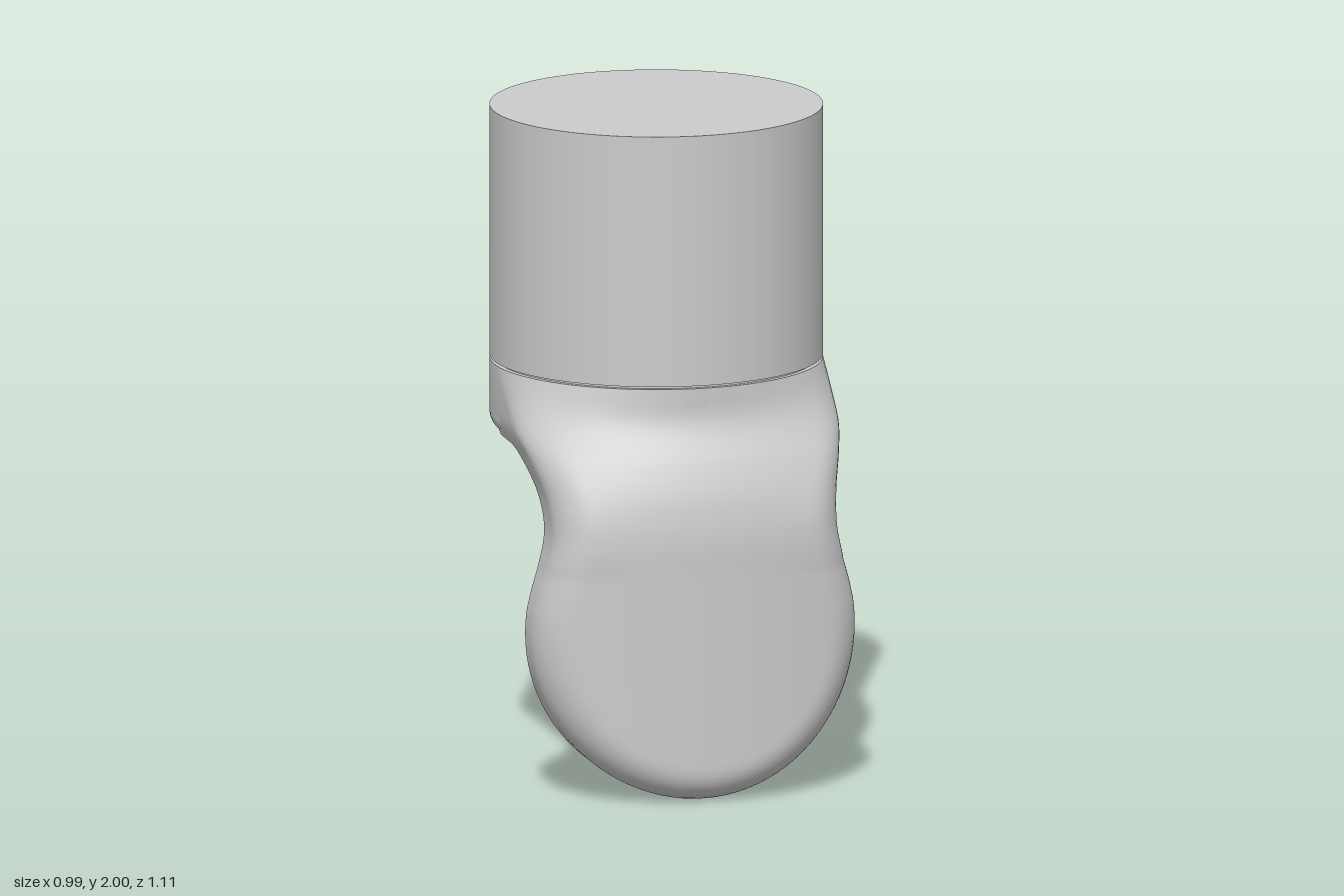
import * as THREE from 'three';
import { toCreasedNormals } from 'three/addons/utils/BufferGeometryUtils.js';

const R = 0.495;        // radius of post, collar and paddle
const POST_Z = -0.06;   // post axis
const BACK_Z = 0.31;    // flat back of the paddle
const TOP = 1.235;      // top of the collar

// smooth curve through [y, value] pairs
function curve(pts) {
  const slope = (i) => {
    const a = pts[Math.max(i - 1, 0)], b = pts[Math.min(i + 1, pts.length - 1)];
    return (b[1] - a[1]) / (b[0] - a[0]);
  };
  return (y) => {
    let i = 0;
    while (i < pts.length - 2 && y > pts[i + 1][0]) i++;
    const h = pts[i + 1][0] - pts[i][0];
    const t = Math.min(Math.max((y - pts[i][0]) / h, 0), 1), s = 1 - t;
    return pts[i][1] * s * s * (1 + 2 * t) + pts[i + 1][1] * t * t * (3 - 2 * t)
      + h * t * s * (slope(i) * s - slope(i + 1) * t);
  };
}

const neckWidth = curve([[0.55, 0.492], [0.62, 0.478], [0.7, 0.455], [0.8, 0.435], [0.9, 0.441],
  [1, 0.468], [1.07, 0.491], [1.12, R], [TOP, R]]);
const frontMiddle = curve([[0.7, 0.555], [0.78, 0.555], [0.85, 0.549], [0.93, 0.533], [1.02, 0.498],
  [1.1, 0.453], [1.15, 0.437], [TOP, 0.435]]);
const frontEdge = curve([[0.7, 0.39], [0.78, 0.395], [0.88, 0.37], [1, 0.28], [1.09, 0.15],
  [1.18, 0.02], [TOP, POST_Z]]);

function halfWidth(y) {
  return y < 0.58 ? Math.sqrt(Math.max(R * R - (y - R) ** 2, 1e-8)) : neckWidth(y);
}

// gently bowed front with a rounded rim
function drop(x, y, w) {
  const d = y < R ? R - Math.hypot(x, y - R) : w - Math.abs(x);
  const k = 0.1, e = Math.min(Math.max(k - d, 0), k);
  return 0.35 * x * x + k - Math.sqrt(k * k - e * e);
}

function frontZ(u, y) {
  const w = halfWidth(y), low = drop(u * w, y, w);
  if (y < 0.7) return 0.555 - low;
  const round = 1 - Math.sqrt(Math.max(1 - u * u, 0));
  const a = THREE.MathUtils.lerp(low / drop(w, y, w), round, THREE.MathUtils.smoothstep(y, 0.8, TOP));
  return frontMiddle(y) - (frontMiddle(y) - frontEdge(y)) * a;
}

// flat disc, then a cove that sweeps back under the collar
function backZ(u, y) {
  if (y > 1.0205) return POST_Z;
  const x = u * halfWidth(y);
  const start = R + Math.sqrt(Math.max(R * R - x * x, 0));
  if (y <= start) return BACK_Z;
  const t = Math.min((y - start) / (1.02 - start), 1);
  return 0.05 + (BACK_Z - 0.05) * Math.sqrt(1 - t * t);
}

// loft of horizontal sections: front left to right, back right to left
function paddleGeometry() {
  const n = 40, levels = [];
  for (let i = 0; i <= 24; i++) levels.push(R * (1 - Math.cos((i / 24) * Math.PI / 2)));
  for (let i = 1; i <= 12; i++) levels.push(R + (0.73 - R) * i / 12);
  for (let i = 1; i <= 28; i++) levels.push(0.73 + 0.29 * Math.sin((i / 28) * Math.PI / 2));
  for (let i = 0; i <= 16; i++) levels.push(1.021 + (TOP - 1.021) * i / 16);

  const pos = [], idx = [], ring = 2 * (n + 1);
  for (const y of levels) {
    const w = halfWidth(y);
    for (let i = 0; i < ring; i++) {
      const front = i <= n;
      const t = front ? i / n : (ring - 1 - i) / n;
      const u = Math.sin((t * 2 - 1) * Math.PI / 2);
      pos.push(u * w, y, front ? frontZ(u, y) : backZ(u, y));
    }
  }
  for (let j = 0; j < levels.length - 1; j++) {
    for (let i = 0; i < ring; i++) {
      const k = (i + 1) % ring, a = j * ring, b = a + ring;
      idx.push(a + i, a + k, b + k, a + i, b + k, b + i);
    }
  }
  const g = new THREE.BufferGeometry();
  g.setAttribute('position', new THREE.Float32BufferAttribute(pos, 3));
  g.setIndex(idx);
  return toCreasedNormals(g, 0.6);
}

// collar disc with a rounded lower rim and a shallow groove on top
function collarGeometry() {
  const k = 0.055, pts = [new THREE.Vector2(0, 1.02)];
  for (let i = 0; i <= 8; i++) {
    const a = (i / 8) * Math.PI / 2;
    pts.push(new THREE.Vector2(R - k + k * Math.sin(a), 1.02 + k - k * Math.cos(a)));
  }
  pts.push(new THREE.Vector2(R, TOP), new THREE.Vector2(0.48, TOP), new THREE.Vector2(0.48, 1.245));
  return toCreasedNormals(new THREE.LatheGeometry(pts, 96), 0.6);
}

export function createModel() {
  const group = new THREE.Group();
  const material = new THREE.MeshStandardMaterial({ color: 0xcccccc });
  const add = (name, geometry, y = 0, z = 0) => {
    const mesh = new THREE.Mesh(geometry, material);
    mesh.name = name;
    mesh.position.set(0, y, z);
    group.add(mesh);
  };
  add('post', new THREE.CylinderGeometry(R, R, 2 - 1.243, 96), (2 + 1.243) / 2, POST_Z);
  add('collar', collarGeometry(), 0, POST_Z);
  add('paddleAndNeck', paddleGeometry());
  return group;
}
